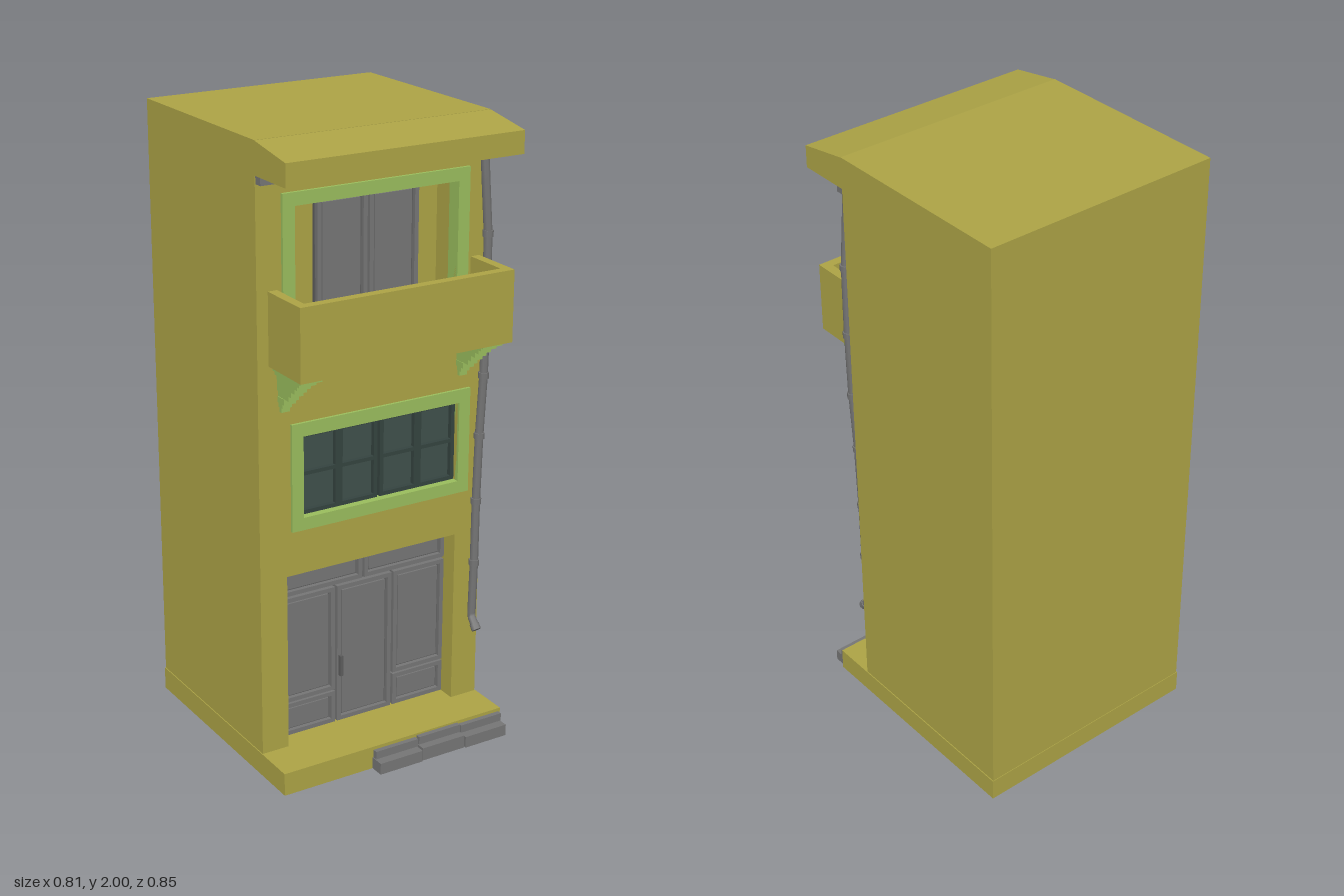
import * as THREE from 'three';

const mat = (color) => new THREE.MeshStandardMaterial({ color });
const wall = mat(0xaba245), trim = mat(0x98bb5c), grey = mat(0x747474), glass = mat(0x3f4f4a);
const darkGrey = mat(0x5c5c5c), sash = mat(0x34433f);

// Box given by its limits on each axis
function block(parent, name, x0, x1, y0, y1, z0, z1, material) {
  const mesh = new THREE.Mesh(new THREE.BoxGeometry(x1 - x0, y1 - y0, z1 - z0), material);
  mesh.position.set((x0 + x1) / 2, (y0 + y1) / 2, (z0 + z1) / 2);
  mesh.name = name;
  parent.add(mesh);
  return mesh;
}

function rect(path, x0, x1, y0, y1) {
  path.moveTo(x0, y0);
  path.lineTo(x1, y0);
  path.lineTo(x1, y1);
  path.lineTo(x0, y1);
  path.closePath();
  return path;
}

// Rectangular slab pierced by rectangular holes, facing +z
function pierced(parent, name, outer, holes, z0, z1, material) {
  const shape = rect(new THREE.Shape(), ...outer);
  for (const h of holes) shape.holes.push(rect(new THREE.Path(), ...h));
  const geo = new THREE.ExtrudeGeometry(shape, { depth: z1 - z0, bevelEnabled: false });
  const mesh = new THREE.Mesh(geo, material);
  mesh.position.z = z0;
  mesh.name = name;
  parent.add(mesh);
  return mesh;
}

// Framed panel: rim, dark groove and raised centre
function panel(parent, name, x0, x1, y0, y1, z, rim = 0.014) {
  const g = new THREE.Group();
  g.name = name;
  pierced(g, 'panelRim', [x0, x1, y0, y1], [[x0 + rim, x1 - rim, y0 + rim, y1 - rim]], z - 0.02, z, grey);
  block(g, 'panelGroove', x0 + 0.004, x1 - 0.004, y0 + 0.004, y1 - 0.004, z - 0.03, z - 0.014, darkGrey);
  const r = rim + 0.007;
  block(g, 'panelCentre', x0 + r, x1 - r, y0 + r, y1 - r, z - 0.02, z - 0.006, grey);
  parent.add(g);
}

export function createModel() {
  const house = new THREE.Group();
  house.name = 'townhouse';
  const L = -0.402, R = 0.393, back = -0.425, front = 0.24;

  // Main block and front wall with its openings
  block(house, 'body', L, R, 0.07, 2, back, 0.135, wall);
  pierced(house, 'frontWall', [L, R, 0.07, 2], [
    [-0.31, 0.30, 0.075, 0.655],
    [-0.255, 0.30, 0.84, 1.10],
    [-0.28, 0.28, 1.36, 1.80],
  ], 0.135, front, wall);
  block(house, 'base', L - 0.003, R + 0.003, 0, 0.075, back - 0.002, 0.38, wall);

  // Roof overhang, profile drawn in z and y then swept across the width
  const eave = new THREE.Shape();
  [[0.235, 1.9], [0.412, 1.9], [0.412, 1.97], [0.235, 2]].forEach(([z, y], i) =>
    i ? eave.lineTo(-z, y) : eave.moveTo(-z, y));
  const eaveGeo = new THREE.ExtrudeGeometry(eave, { depth: R - L, bevelEnabled: false });
  eaveGeo.rotateY(Math.PI / 2);
  const roof = new THREE.Mesh(eaveGeo, wall);
  roof.position.x = L;
  roof.name = 'roofOverhang';
  house.add(roof);

  // Gutter in four lengths under the overhang
  for (let i = 0; i < 4; i++) {
    const w = (R - L) / 4, x = L + i * w;
    block(house, 'gutter', x + 0.002, x + w - 0.002, 1.876 + (i % 2) * 0.004, 1.9, front, 0.268, grey);
  }

  // Drainpipe with collars
  const pipe = new THREE.Group();
  pipe.name = 'drainpipe';
  const pts = [
    [0.366, 1.885, 0.255], [0.37, 1.8, 0.258], [0.382, 1.63, 0.26], [0.384, 1.4, 0.26], [0.38, 1.18, 0.26],
    [0.374, 0.98, 0.254], [0.37, 0.76, 0.252], [0.366, 0.55, 0.256], [0.363, 0.36, 0.254], [0.363, 0.33, 0.278],
  ].map((p) => new THREE.Vector3(...p));
  const route = new THREE.CurvePath();
  for (let i = 1; i < pts.length; i++) route.add(new THREE.LineCurve3(pts[i - 1], pts[i]));
  const run = new THREE.Mesh(new THREE.TubeGeometry(route, 90, 0.0135, 8), grey);
  run.name = 'pipeRun';
  pipe.add(run);
  for (let i = 2; i < 8; i++) {
    const collar = new THREE.Mesh(new THREE.CylinderGeometry(0.017, 0.017, 0.02, 8), grey);
    collar.position.copy(pts[i]);
    collar.name = 'pipeCollar';
    pipe.add(collar);
  }
  const spout = new THREE.Mesh(new THREE.CylinderGeometry(0.016, 0.016, 0.02, 8), grey);
  spout.position.copy(pts[9]);
  spout.rotation.x = -0.7;
  spout.name = 'pipeSpout';
  pipe.add(spout);
  house.add(pipe);

  // Shopfront: transom lights, side lights with lower panels, and central door
  const shop = new THREE.Group();
  shop.name = 'shopfront';
  block(shop, 'shopfrontFrame', -0.31, 0.30, 0.075, 0.655, 0.13, 0.165, darkGrey);
  const dz = 0.185;
  panel(shop, 'transom', -0.308, -0.009, 0.558, 0.653, dz);
  panel(shop, 'transom', -0.001, 0.298, 0.558, 0.653, dz);
  for (const [x0, x1] of [[-0.308, -0.108], [0.108, 0.298]]) {
    panel(shop, 'sideLight', x0, x1, 0.193, 0.55, dz);
    panel(shop, 'lowerPanel', x0, x1, 0.078, 0.187, dz);
  }
  panel(shop, 'frontDoor', -0.1, 0.1, 0.078, 0.55, dz);
  block(shop, 'doorHandle', -0.095, -0.085, 0.24, 0.31, dz, dz + 0.012, darkGrey);
  house.add(shop);

  // Middle window: two glazed halves, each with two sashes and a crossbar
  const win = new THREE.Group();
  win.name = 'window';
  pierced(win, 'windowSurround', [-0.295, 0.34, 0.80, 1.143], [[-0.255, 0.30, 0.84, 1.10]], 0.2, 0.249, trim);
  for (const x0 of [-0.255, 0.027]) {
    const w = 0.273;
    block(win, 'windowGlass', x0, x0 + w, 0.84, 1.10, 0.13, 0.21, glass);
    for (let i = 0; i < 2; i++) {
      const a = x0 + i * w / 2, b = a + w / 2, m = 0.013;
      pierced(win, 'windowSash', [a, b, 0.84, 1.10],
        [[a + m, b - m, 0.853, 0.965], [a + m, b - m, 0.977, 1.087]], 0.205, 0.225, sash);
    }
  }
  house.add(win);

  // Balcony opening: surround and double door on the recessed wall
  const opening = new THREE.Group();
  opening.name = 'balconyOpening';
  pierced(opening, 'openingSurround', [-0.32, 0.32, 1.34, 1.84], [[-0.28, 0.28, 1.36, 1.80]], 0.2, 0.25, trim);
  block(opening, 'doorFrame', -0.155, 0.203, 1.36, 1.792, 0.13, 0.145, darkGrey);
  panel(opening, 'balconyDoor', -0.152, 0.02, 1.362, 1.79, 0.158);
  panel(opening, 'balconyDoor', 0.028, 0.2, 1.362, 1.79, 0.158);
  house.add(opening);

  // Balcony: floor and parapets
  const balcony = new THREE.Group();
  balcony.name = 'balcony';
  const bx = 0.365, bt = 0.03;
  block(balcony, 'balconyFloor', -bx, bx, 1.335, 1.362, front, 0.422, wall);
  block(balcony, 'frontParapet', -bx, bx, 1.362, 1.56, 0.422 - bt, 0.422, wall);
  for (const s of [-1, 1]) {
    const xs = [s * bx, s * (bx - bt)].sort((a, b) => a - b);
    block(balcony, 'sideParapet', ...xs, 1.362, 1.56, front, 0.422 - bt, wall);
  }
  house.add(balcony);

  // Stepped brackets under the balcony
  const steps = [
    // top, bottom, width, reach
    [1.335, 1.322, 0.072, 0.4], [1.322, 1.308, 0.058, 0.38], [1.308, 1.292, 0.046, 0.36],
    [1.292, 1.275, 0.042, 0.34], [1.275, 1.258, 0.042, 0.32], [1.258, 1.24, 0.036, 0.3],
    [1.24, 1.222, 0.04, 0.278], [1.222, 1.206, 0.032, 0.262], [1.206, 1.19, 0.028, 0.252],
  ];
  for (const cx of [-0.317, 0.31]) {
    const bracket = new THREE.Group();
    bracket.name = 'bracket';
    for (const [top, bottom, w, reach] of steps)
      block(bracket, 'bracketStep', cx - w / 2, cx + w / 2, bottom, top, front - 0.01, reach, trim);
    house.add(bracket);
  }

  // Stone steps: two courses of three blocks
  for (let i = 0; i < 3; i++) {
    const x = -0.09 + i * 0.16;
    block(house, 'lowerStep', x + 0.001, x + 0.157, 0, 0.038 + (i % 2) * 0.005, 0.375, 0.427 - (i % 2) * 0.004, grey);
    block(house, 'upperStep', x + 0.004, x + 0.159, 0.03, 0.064 + (i % 2) * 0.005, 0.37, 0.396, grey);
  }
  return house;
}
